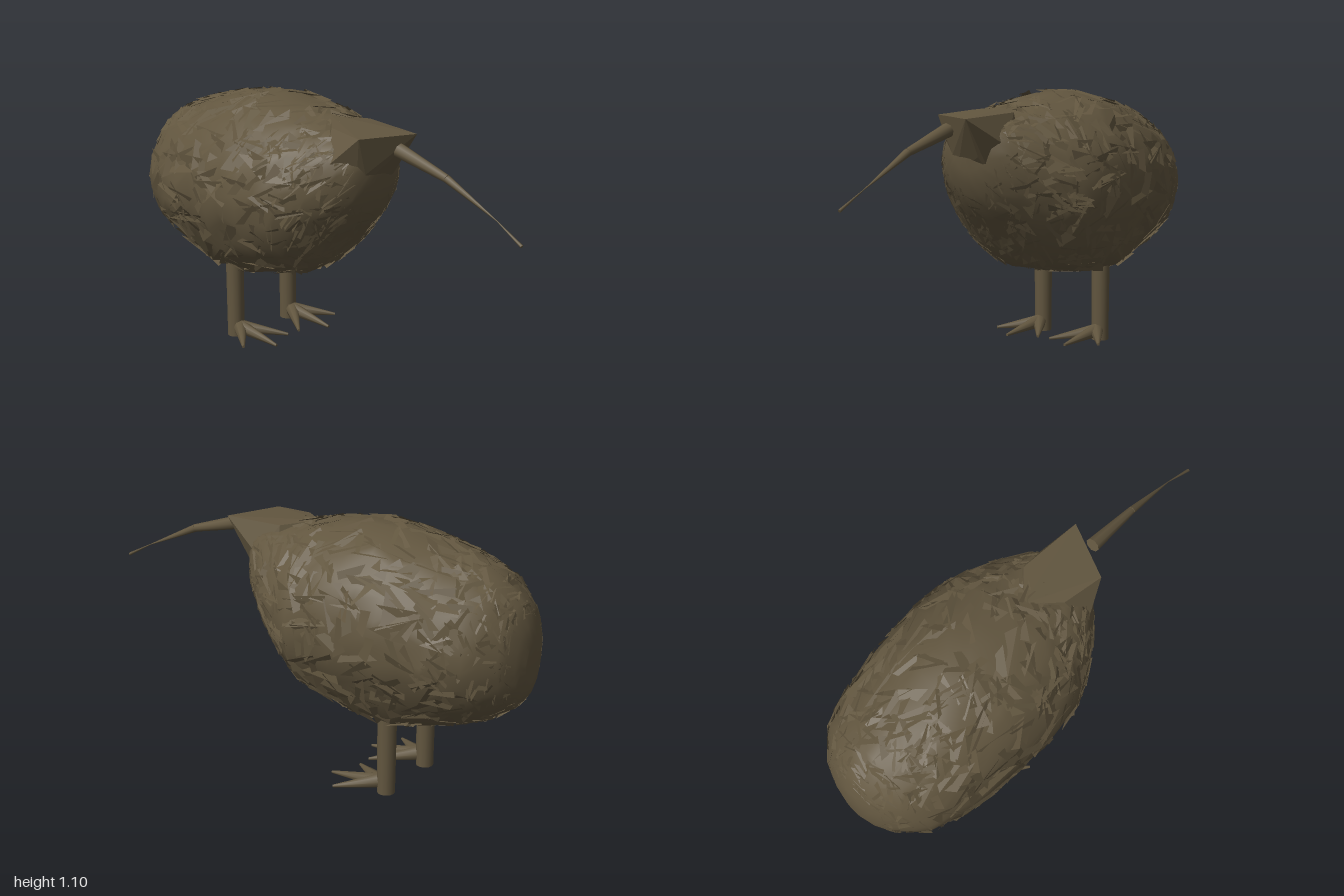
import * as THREE from 'three';
import { mergeGeometries } from 'three/addons/utils/BufferGeometryUtils.js';
import { ConvexGeometry } from 'three/addons/geometries/ConvexGeometry.js';

const V = (x, y, z) => new THREE.Vector3(x, y, z);

// Body sections from tail to neck: [z, top, bottom, half width]
const SECTIONS = [
  [-1.0, 0.71, 0.55, 0.05], [-0.985, 0.79, 0.485, 0.115], [-0.95, 0.875, 0.44, 0.195],
  [-0.85, 0.97, 0.37, 0.3], [-0.7, 1.03, 0.325, 0.352], [-0.5, 1.08, 0.315, 0.38],
  [-0.3, 1.105, 0.32, 0.392], [-0.1, 1.075, 0.34, 0.38], [0, 1.05, 0.415, 0.335],
  [0.1, 1.035, 0.525, 0.275], [0.2, 1.02, 0.64, 0.19], [0.25, 1.0, 0.74, 0.12], [0.27, 0.94, 0.84, 0.04],
];

function seeded(seed) {
  return () => {
    seed = (seed * 16807) % 2147483647;
    return seed / 2147483647;
  };
}

// Point on the body at section position s and angle a, flared at the hips
function bodyPoint(s, a, scale) {
  const i = THREE.MathUtils.clamp(Math.floor(s), 0, SECTIONS.length - 2);
  const [z, top, bottom, w] = SECTIONS[i].map((v, k) => THREE.MathUtils.lerp(v, SECTIONS[i + 1][k], s - i));
  const offCorner = Math.abs(Math.atan2(Math.sin(a), Math.abs(Math.cos(a))) + 1.08);
  const hip = Math.max(0, 1 - offCorner / 0.5) * Math.max(0, 1 - Math.abs(z + 0.45) / 0.32);
  const r = scale * (1 + 0.15 * hip);
  return V(Math.cos(a) * w * r, (top + bottom) / 2 + Math.sin(a) * (top - bottom) / 2 * r, z);
}

function toGeometry(pos, index) {
  const g = new THREE.BufferGeometry();
  g.setAttribute('position', new THREE.Float32BufferAttribute(pos, 3));
  if (index) g.setIndex(index);
  g.computeVertexNormals();
  return g;
}

// Closed skin through the sections, roughened a little
function bodyGeometry(rand) {
  const around = 36, rings = (SECTIONS.length - 1) * 2 + 1, pos = [], index = [];
  for (let i = 0; i < rings; i++) {
    for (let j = 0; j < around; j++) {
      const a = (j + (i % 2) * 0.5 + (rand() - 0.5) * 0.6) / around * Math.PI * 2;
      const p = bodyPoint(i / 2, a, 0.96 + rand() * 0.035);
      pos.push(p.x, p.y, p.z);
    }
  }
  for (let i = 0; i < rings - 1; i++) {
    for (let j = 0; j < around; j++) {
      const a = i * around + j, b = i * around + (j + 1) % around;
      index.push(a, b, a + around, b, b + around, a + around);
    }
  }
  const e = (rings - 1) * around;
  for (let j = 1; j < around - 1; j++) index.push(0, j + 1, j, e, e + j, e + j + 1);
  return toGeometry(pos, index);
}

// Loose triangular flakes lying in the skin, each with one corner sunk
function plumageGeometry(rand) {
  const pos = [];
  for (let n = 0; n < 1000; n++) {
    const s = 1.4 + rand() * 9, a = rand() * Math.PI * 2, turn = rand() * Math.PI * 2;
    const along = s < 3 ? 1.2 : 2.6;
    for (let k = 0; k < 3; k++) {
      const t = turn + k * 2.1 + rand() * 0.8, reach = 0.1 + rand() * 0.18;
      const depth = k === 0 ? 0.91 : 0.995 + rand() * 0.02;
      const p = bodyPoint(s + Math.cos(t) * reach * along, a + Math.sin(t) * reach, depth);
      pos.push(p.x, p.y, p.z);
    }
  }
  return toGeometry(pos);
}

// Tapered stick between two points
function stick(a, b, ra, rb, sides) {
  const d = b.clone().sub(a);
  const g = new THREE.CylinderGeometry(rb, ra, d.length(), sides);
  g.applyQuaternion(new THREE.Quaternion().setFromUnitVectors(V(0, 1, 0), d.normalize()));
  const c = a.clone().add(b).multiplyScalar(0.5);
  return g.translate(c.x, c.y, c.z);
}

export function createModel() {
  const root = new THREE.Group();
  const rand = seeded(4127);
  const brown = new THREE.MeshStandardMaterial({ color: 0x62563f, side: THREE.DoubleSide });
  brown.name = 'brown';

  const add = (parent, name, geometry) => {
    const m = new THREE.Mesh(geometry, brown);
    m.name = name;
    parent.add(m);
  };

  add(root, 'body', bodyGeometry(rand));
  add(root, 'plumage', plumageGeometry(rand));

  // Wedge-shaped head with a slanted brow
  add(root, 'head', new ConvexGeometry([
    V(-0.14, 1.02, 0.28), V(0.09, 1.02, 0.38), V(-0.08, 0.86, 0.26), V(0.07, 0.86, 0.28),
    V(-0.2, 0.88, 0.14), V(0.15, 0.9, 0.19), V(-0.09, 0.78, 0.22), V(0.09, 0.78, 0.22),
    V(-0.11, 1.03, 0.1), V(0.11, 1.03, 0.1), V(0, 1.045, -0.02),
    V(-0.16, 0.8, 0.08), V(0.16, 0.8, 0.08),
  ]));

  // Long drooping beak, pinched just before the tip
  const beakPoints = [[-0.008, 0.97, 0.375, 0.031], [0, 0.902, 0.62, 0.017], [0.007, 0.785, 0.87, 0.002], [0, 0.716, 0.997, 0.007]];
  const beak = [];
  for (let i = 0; i < 3; i++) {
    const [p, q] = [beakPoints[i], beakPoints[i + 1]];
    beak.push(stick(V(p[0], p[1], p[2]), V(q[0], q[1], q[2]), p[3], q[3], 8));
  }
  add(root, 'beak', mergeGeometries(beak));

  // Shanks and toes on both sides
  for (const side of [1, -1]) {
    const leg = new THREE.Group();
    leg.name = side > 0 ? 'leftLeg' : 'rightLeg';
    const x = 0.157 * side, z = -0.452;
    add(leg, 'shank', stick(V(x, 0, z), V(x, 0.38, z), 0.037, 0.04, 12));
    const toes = [[0, 0.02, -0.19], [0.12, 0.025, -0.27], [-0.125, 0.02, -0.25]];
    for (const [dx, y, tz] of toes) {
      add(leg, 'toe', stick(V(x, 0.044, -0.425), V(x + dx * side, y, tz), 0.031, 0.006, 8));
    }
    root.add(leg);
  }
  return root;
}
